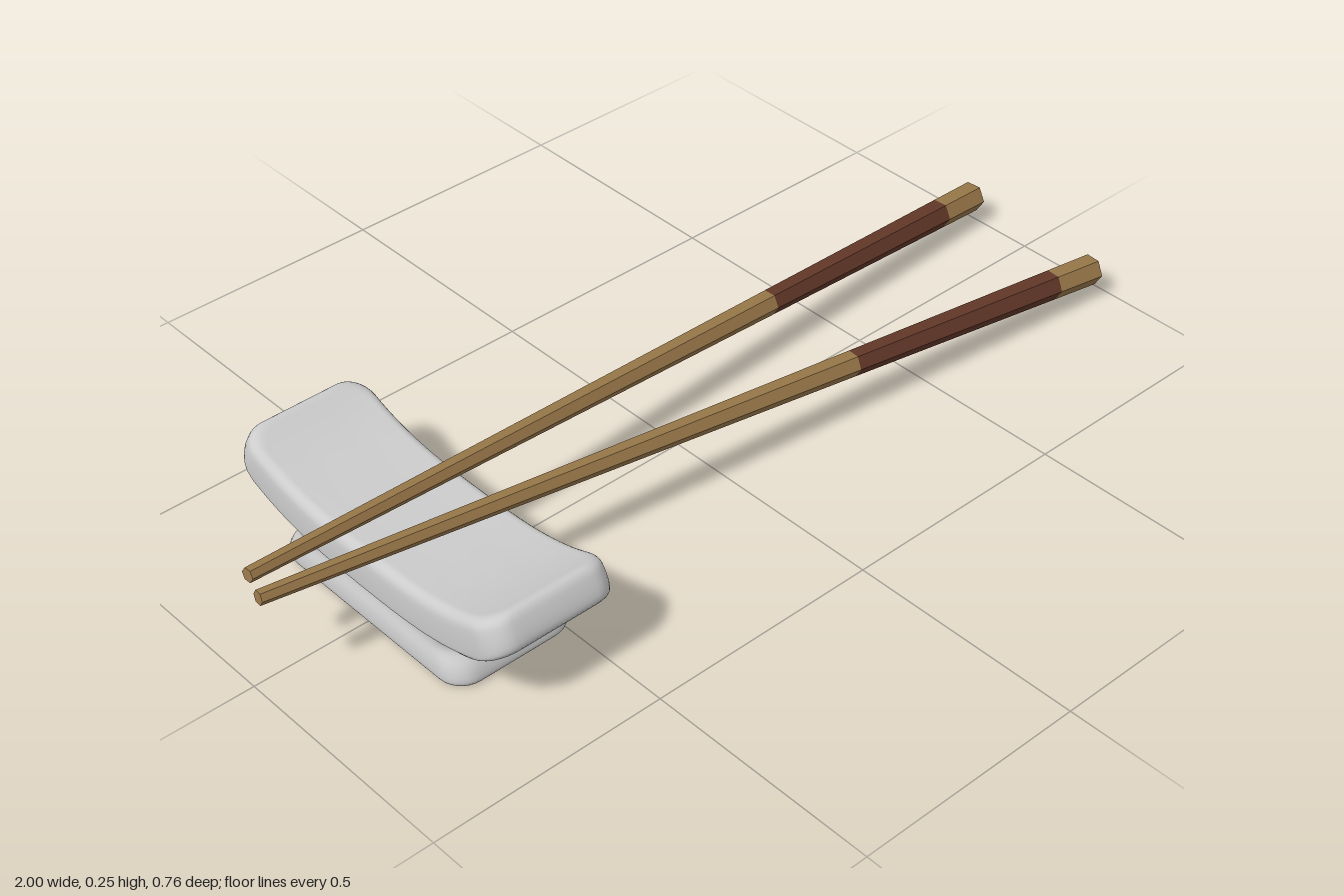
import * as THREE from 'three';

const wood = new THREE.MeshStandardMaterial({ color: 0x99784a, flatShading: true });
const darkWood = new THREE.MeshStandardMaterial({ color: 0x633829, flatShading: true });
const ceramic = new THREE.MeshStandardMaterial({ color: 0xcccccc });

// Upward sweep of the rest towards its two ends
const bend = (z) => 1.31 * Math.pow(Math.abs(z), 2.87);

// Rounded rectangle in x/z, with evenly divided sides
function roundedRect(hx, hz, r) {
  r = Math.min(r, hx, hz);
  const points = [], corner = 7;
  const corners = [[1, 1], [-1, 1], [-1, -1], [1, -1]];
  corners.forEach(([sx, sz], q) => {
    const arc = (c, a) => [c[0] * (hx - r) + r * Math.cos(a), c[1] * (hz - r) + r * Math.sin(a)];
    for (let i = 0; i <= corner; i++) points.push(arc([sx, sz], (q + i / corner) * Math.PI / 2));
    const end = points[points.length - 1];
    const next = arc(corners[(q + 1) % 4], (q + 1) * Math.PI / 2);
    const n = q % 2 ? 32 : 10;
    for (let i = 1; i < n; i++) {
      points.push([end[0] + (next[0] - end[0]) * i / n, end[1] + (next[1] - end[1]) * i / n]);
    }
  });
  return points;
}

// Rest: rings from the hollow underneath, up the sides, to the middle of the top
function createRest() {
  // half width, half length, height, share of bend, corner radius
  const rings = [
    [0, 0.10, 0.03, 0, 0],
    [0.045, 0.15, 0.03, 0, 0.045],
    [0.066, 0.172, 0.024, 0, 0.06],
    [0.08, 0.188, 0.007, 0, 0.06],
    [0.09, 0.20, 0.001, 0, 0.06],
    [0.122, 0.245, 0, 0, 0.05],
    [0.135, 0.259, 0.004, 0, 0.05],
    [0.138, 0.262, 0.014, 0, 0.05],
    [0.135, 0.253, 0.04, 0, 0.05],
    [0.127, 0.237, 0.062, 0, 0.05],
    [0.126, 0.238, 0.075, 0.15, 0.05],
    [0.128, 0.262, 0.081, 0.45, 0.05],
    [0.131, 0.31, 0.083, 0.65, 0.05],
    [0.135, 0.36, 0.082, 0.86, 0.05],
    [0.138, 0.379, 0.085, 0.96, 0.05],
    [0.139, 0.379, 0.097, 1, 0.05],
    [0.139, 0.367, 0.132, 1, 0.05],
    [0.136, 0.357, 0.152, 1, 0.05],
    [0.125, 0.345, 0.163, 1, 0.05],
    [0.108, 0.325, 0.164, 1, 0.05],
    [0.06, 0.27, 0.163, 1, 0.04],
    [0, 0.2, 0.163, 1, 0],
  ];
  const steps = (rings.length - 1) * 3;
  const size = new THREE.CatmullRomCurve3(rings.map((r) => new THREE.Vector3(r[0], r[1], r[2])));
  const positions = [], indices = [];
  let count = 0;
  for (let j = 0; j <= steps; j++) {
    const p = size.getPoint(j / steps);
    const k = Math.min(Math.floor(j / 3), rings.length - 2), f = j / 3 - k;
    const [share, radius] = [3, 4].map((c) => rings[k][c] * (1 - f) + rings[k + 1][c] * f);
    const loop = roundedRect(Math.max(p.x, 0), p.y, radius);
    count = loop.length;
    for (const [x, z] of loop) positions.push(x, Math.max(0, p.z + share * bend(z)), z);
  }
  for (let j = 0; j < steps; j++) {
    for (let i = 0; i < count; i++) {
      const a = j * count + i, b = j * count + (i + 1) % count;
      indices.push(a, a + count, b, b, a + count, b + count);
    }
  }
  const geometry = new THREE.BufferGeometry();
  geometry.setAttribute('position', new THREE.Float32BufferAttribute(positions, 3));
  geometry.setIndex(indices);
  geometry.computeVertexNormals();
  const rest = new THREE.Mesh(geometry, ceramic);
  rest.name = 'chopstickRest';
  rest.position.x = -0.618;
  return rest;
}

// Tapered six-sided stick with a dark band near the thick end
function createChopstick(name, tip, end) {
  const stick = new THREE.Group();
  stick.name = name;
  const length = tip.distanceTo(end);
  const radius = (t) => 0.0145 + 0.0175 * t;
  const parts = [['shaft', 0, 0.669, wood], ['band', 0.669, 0.942, darkWood], ['endCap', 0.942, 1, wood]];
  for (const [part, t0, t1, material] of parts) {
    const geometry = new THREE.CylinderGeometry(radius(t1), radius(t0), (t1 - t0) * length, 6);
    const mesh = new THREE.Mesh(geometry, material);
    mesh.name = part;
    mesh.position.y = (t0 + t1) / 2 * length;
    stick.add(mesh);
  }
  // Lay the stick along its axis with a flat facet on top
  const axis = end.clone().sub(tip).normalize();
  const side = new THREE.Vector3(0, 0, 1).addScaledVector(axis, -axis.z).normalize();
  const up = new THREE.Vector3().crossVectors(axis, side);
  stick.quaternion.setFromRotationMatrix(new THREE.Matrix4().makeBasis(up, axis, side));
  stick.position.copy(tip);
  return stick;
}

export function createModel() {
  const model = new THREE.Group();
  model.name = 'chopsticksOnRest';
  model.add(
    createRest(),
    createChopstick('frontChopstick', new THREE.Vector3(-0.999, 0.236, 0.047), new THREE.Vector3(0.973, 0.057, 0.202)),
    createChopstick('backChopstick', new THREE.Vector3(-0.979, 0.237, -0.011), new THREE.Vector3(0.994, 0.057, -0.15)),
  );
  return model;
}
